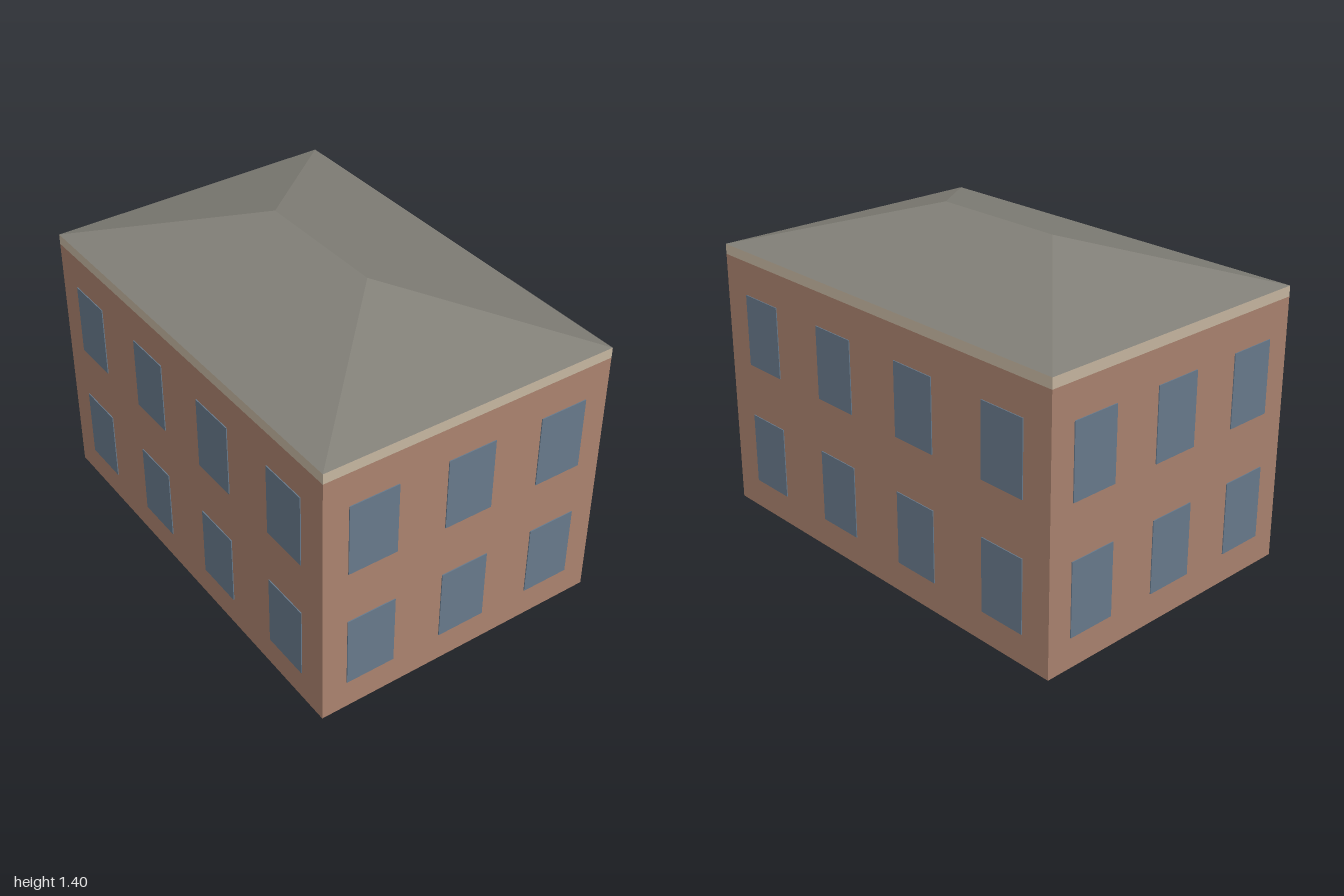
import * as THREE from 'three';

const makeMaterial = (name, color) => {
  const m = new THREE.MeshStandardMaterial({ color, side: THREE.DoubleSide });
  m.name = name;
  return m;
};

// Footprint corners [x, z], counter-clockwise from above; slightly out of square
const CORNERS = [[-0.671, 0.995], [0.66, 0.995], [0.671, -1.0], [-0.671, -0.962]];
const BAND_BOTTOM = 1.155, EAVES = 1.2, RIDGE = 1.4;

// Flat-shaded surface from polygons, each fanned into triangles
function surface(name, polygons, material) {
  const positions = [];
  for (const p of polygons)
    for (let i = 1; i < p.length - 1; i++) positions.push(...p[0], ...p[i], ...p[i + 1]);
  const geometry = new THREE.BufferGeometry();
  geometry.setAttribute('position', new THREE.Float32BufferAttribute(positions, 3));
  geometry.computeVertexNormals();
  const mesh = new THREE.Mesh(geometry, material);
  mesh.name = name;
  return mesh;
}

// Open ring of wall faces between two heights
function wallRing(name, y0, y1, material) {
  const faces = CORNERS.map(([ax, az], i) => {
    const [bx, bz] = CORNERS[(i + 1) % 4];
    return [[ax, y0, az], [bx, y0, bz], [bx, y1, bz], [ax, y1, az]];
  });
  return surface(name, faces, material);
}

export function createModel() {
  const model = new THREE.Group();
  model.name = 'building';
  const brick = makeMaterial('brick', 0xac8470);
  const trim = makeMaterial('trim', 0xc8b8a2);
  const slate = makeMaterial('slate', 0x828078);
  const glass = makeMaterial('glass', 0x697b8d);

  model.add(wallRing('walls', 0, BAND_BOTTOM, brick));
  model.add(wallRing('corniceBand', BAND_BOTTOM, EAVES, trim));

  // Hipped roof
  const [fl, fr, br, bl] = CORNERS.map(([x, z]) => [x, EAVES, z]);
  const ridgeFront = [0, RIDGE, 0.324], ridgeBack = [0, RIDGE, -0.312];
  model.add(surface('hippedRoof', [
    [fl, fr, ridgeFront],
    [fr, br, ridgeBack, ridgeFront],
    [br, bl, ridgeBack],
    [bl, fl, ridgeFront, ridgeBack],
  ], slate));

  // Two rows of windows, evenly spaced along each wall
  const wallNames = ['front', 'left', 'back', 'right'];
  const pane = new THREE.BoxGeometry(0.22, 0.318, 0.004);
  CORNERS.forEach(([ax, az], i) => {
    const [bx, bz] = CORNERS[(i + 1) % 4];
    const length = Math.hypot(bx - ax, bz - az);
    const nx = -(bz - az) / length, nz = (bx - ax) / length;
    const count = i % 2 ? 4 : 3;
    const group = new THREE.Group();
    group.name = wallNames[i] + 'Windows';
    for (const y of [0.291, 0.847]) {
      for (let k = 0; k < count; k++) {
        const t = (k + 0.5) / count;
        const win = new THREE.Mesh(pane, glass);
        win.name = 'window';
        win.position.set(ax + (bx - ax) * t + nx * 0.0025, y, az + (bz - az) * t + nz * 0.0025);
        win.rotation.y = Math.atan2(nx, nz);
        group.add(win);
      }
    }
    model.add(group);
  });

  return model;
}
